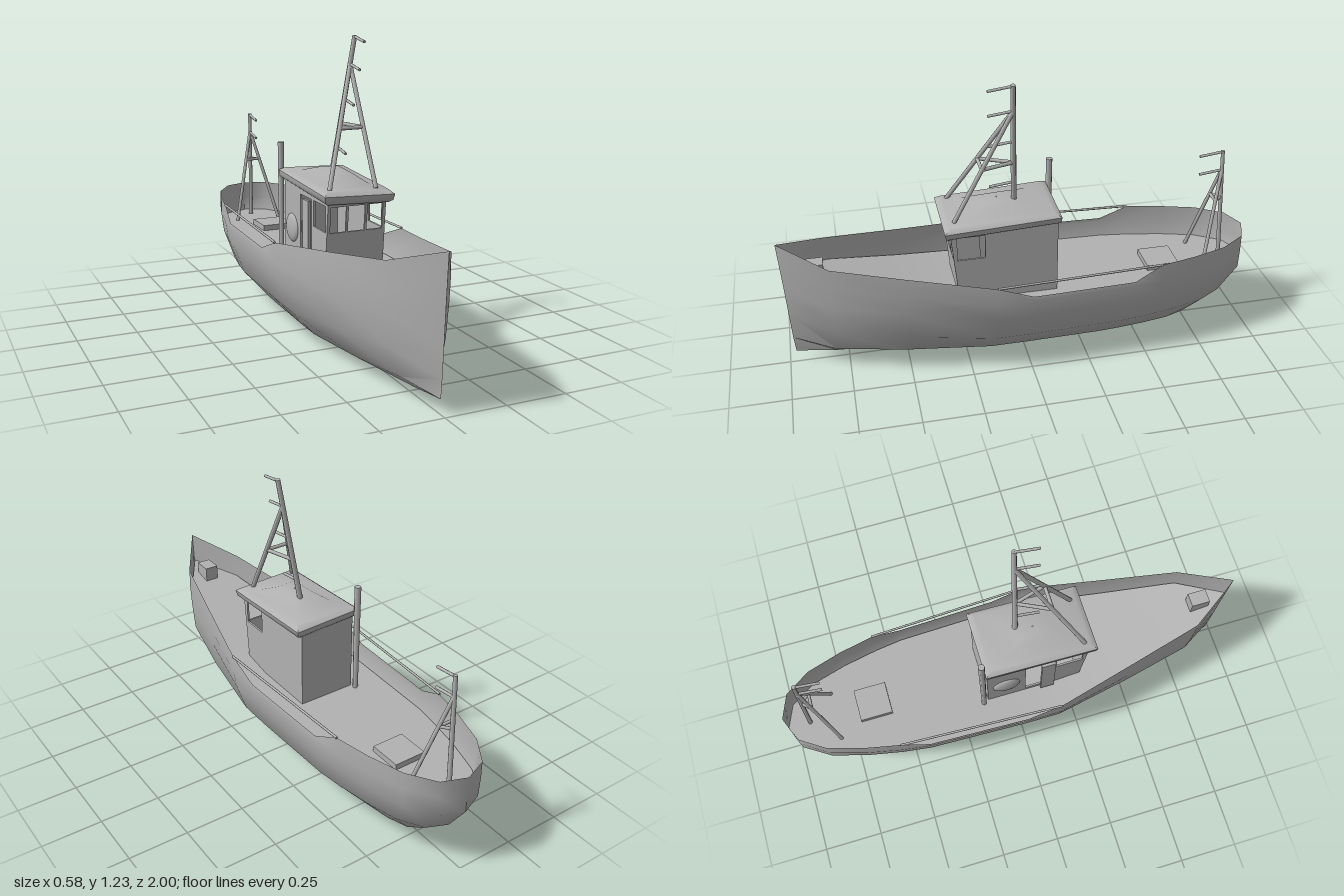
import * as THREE from 'three';
import { toCreasedNormals } from 'three/addons/utils/BufferGeometryUtils.js';

const grey = new THREE.MeshStandardMaterial({ color: 0xb2b2b2, side: THREE.DoubleSide });
grey.name = 'grey paint';

// Skin a grid of rings (arrays of [x, y, z]) into one surface
function skin(rings, closed, crease) {
  const n = rings[0].length, index = [];
  for (let i = 0; i < rings.length - 1; i++) {
    for (let k = 0; k < (closed ? n : n - 1); k++) {
      const k2 = (k + 1) % n;
      const a = i * n + k, b = a + n, c = i * n + k2, d = c + n;
      index.push(a, b, c, c, b, d);
    }
  }
  const g = new THREE.BufferGeometry();
  g.setAttribute('position', new THREE.Float32BufferAttribute(rings.flat(2), 3));
  g.setIndex(index);
  return toCreasedNormals(g, crease);
}

function add(parent, name, geometry, x = 0, y = 0, z = 0) {
  const m = new THREE.Mesh(geometry, grey);
  m.name = name;
  m.position.set(x, y, z);
  parent.add(m);
  return m;
}

// Round bar between two points
function bar(parent, name, a, b, r, rTop = r) {
  const p = new THREE.Vector3(...a), q = new THREE.Vector3(...b);
  const m = add(parent, name, new THREE.CylinderGeometry(rTop, r, p.distanceTo(q), 8));
  m.position.copy(p).add(q).multiplyScalar(0.5);
  m.quaternion.setFromUnitVectors(new THREE.Vector3(0, 1, 0), q.sub(p).normalize());
  return m;
}

// Flat wall with holes, each hole being [x0, y0, x1, y1]
function wall(outline, holes) {
  const s = new THREE.Shape(outline.map(p => new THREE.Vector2(...p)));
  for (const [x0, y0, x1, y1] of holes) {
    s.holes.push(new THREE.Path([[x0, y0], [x0, y1], [x1, y1], [x1, y0]].map(p => new THREE.Vector2(...p))));
  }
  return new THREE.ExtrudeGeometry(s, { depth: 0.008, bevelEnabled: false });
}

// Stations from bow to stern: z, bow blend, width factor
const STATIONS = [
  [1, 1, 0], [0.8, 0.55, 0.46], [0.5, 0.28, 0.71], [0.15, 0, 1], [0, 0, 1], [-0.43, 0, 0.95],
  [-0.55, 0, 0.89], [-0.7, 0, 0.78], [-0.85, 0, 0.62], [-0.96, 0, 0.36], [-1, 0, 0],
];
// Hull rows from keel to rail
const WIDTH = [0, 0.115, 0.23, 0.27, 0.285, 0.282];
const MID_Y = [0.004, 0.035, 0.16, 0.28, 0.365, 0.44];
const BOW_Y = [0.06, 0.13, 0.25, 0.38, 0.49, 0.59];
const STERN = [0.6, 0.77, 0.92, 1, 1, 1];
const BULGE = [1, 1.2, 1.1, 1.02, 1, 1];

function hullRing([z, t, f]) {
  const ring = [];
  for (let k = -5; k <= 5; k++) {
    const r = Math.abs(k);
    const x = Math.sign(k) * WIDTH[r] * f * (t > 0 ? BULGE[r] : 1);
    let y = MID_Y[r] + (BOW_Y[r] - MID_Y[r]) * t;
    if (r === 5 && (z === 0 || z === -0.43)) y = 0.383;
    const zr = z < 0 ? z * STERN[r] : z === 1 ? 0.97 + 0.006 * r : z;
    ring.push([x, y, zr]);
  }
  return ring;
}

function buildHull(group) {
  add(group, 'hull', skin(STATIONS.map(hullRing), false, 0.75));

  // Deck rises towards the bow
  const deck = STATIONS.map(([z, , f]) => {
    const y = 0.3 + Math.max(0, z - 0.2) * 0.2, w = 0.268 * f;
    const zd = z === 1 ? 0.988 : z;
    return [[w, y, zd], [0, y, zd], [-w, y, zd]];
  });
  add(group, 'deck', skin(deck, false, 0.5));

  for (const s of [-1, 1]) {
    bar(group, 'sideRail', [s * 0.283, 0.441, 0.15], [s * 0.252, 0.441, -0.55], 0.005);
  }
  add(group, 'aftHatch', new THREE.BoxGeometry(0.14, 0.035, 0.14), 0.005, 0.307, -0.62);
  add(group, 'bowLocker', new THREE.BoxGeometry(0.06, 0.065, 0.08), 0, 0.458, 0.86);
}

function buildWheelhouse(group) {
  const house = new THREE.Group();
  house.name = 'wheelhouse';
  group.add(house);

  // Side walls: forward windows on both sides, doorway on the right
  const side = [[-0.13, 0.295], [0.28, 0.295], [0.313, 0.64], [-0.13, 0.64]];
  const window = [0.17, 0.495, 0.285, 0.6];
  const door = [0.035, 0.32, 0.15, 0.6];
  add(house, 'leftWall', wall(side, [window]), 0.125).rotation.y = -Math.PI / 2;
  add(house, 'rightWall', wall(side, [window, door]), -0.117).rotation.y = -Math.PI / 2;
  add(house, 'doorLeaf', new THREE.BoxGeometry(0.012, 0.28, 0.06), -0.138, 0.455, 0.13);

  // Front wall leans forward, with three windows
  const front = wall([[-0.125, 0], [0.125, 0], [0.125, 0.345], [-0.125, 0.345]],
    [[-0.112, 0.2, -0.045, 0.305], [-0.036, 0.2, 0.036, 0.305], [0.045, 0.2, 0.112, 0.305]]);
  add(house, 'frontWall', front, 0, 0.295, 0.273).rotation.x = 0.095;
  add(house, 'aftWall', new THREE.BoxGeometry(0.25, 0.345, 0.008), 0, 0.4675, -0.13);

  // Domed port on the right side
  const dome = add(house, 'sidePort', new THREE.SphereGeometry(0.06, 20, 12), -0.124, 0.44, -0.05);
  dome.scale.x = 0.3;

  // Roof: rolled eave rising to a low crown
  const rings = [[0, 0.005, 0.005], [0, 0.132, 0.224], [0.01, 0.146, 0.235], [0.035, 0.15, 0.24],
    [0.05, 0.132, 0.215], [0.055, 0.085, 0.14], [0.085, 0.04, 0.06], [0.088, 0.002, 0.002]]
    .map(([y, x, z]) => [[x, y, z], [x, y, -z], [-x, y, -z], [-x, y, z]].reverse());
  const roof = add(house, 'roof', skin(rings, true, 0.8), 0, 0.618, 0.095);
  roof.rotation.set(0.05, 0, -0.04);

  bar(house, 'exhaustPipe', [-0.133, 0.295, -0.155], [-0.133, 0.785, -0.155], 0.011, 0.014);
}

// Tripod mast: a pole, two forward legs, a brace triangle and rungs
function buildMast(group, name, o) {
  const mast = new THREE.Group();
  mast.name = name;
  group.add(mast);
  const at = (a, b, y) => a.map((v, i) => v + (b[i] - v) * (y - a[1]) / (b[1] - a[1]));

  bar(mast, 'pole', o.base, o.top, o.r, o.r * 0.85);
  const joint = at(o.base, o.top, o.jointY);
  for (const foot of o.feet) bar(mast, 'leg', foot, joint, o.r * 0.8);

  const [a, b] = o.feet.map(foot => at(foot, joint, o.braceY));
  const c = at(o.base, o.top, o.braceY);
  for (const [p, q] of [[a, b], [b, c], [c, a]]) bar(mast, 'brace', p, q, o.r * 0.65);

  for (const y of o.rungs) {
    const p = at(o.base, o.top, y);
    bar(mast, 'rung', p, [p[0] - 0.005, y - 0.015, p[2] + 0.1], 0.006);
  }
}

export function createModel() {
  const model = new THREE.Group();
  model.name = 'fishingBoat';
  buildHull(model);
  buildWheelhouse(model);
  buildMast(model, 'mainMast', {
    base: [0.02, 0.68, 0.03], top: [0.11, 1.235, 0.05], r: 0.012, jointY: 1.12, braceY: 0.88,
    feet: [[0.09, 0.655, 0.29], [-0.11, 0.66, 0.29]], rungs: [1.23, 1.12, 0.98, 0.785],
  });
  buildMast(model, 'aftMast', {
    base: [0, 0.295, -0.905], top: [-0.008, 0.805, -0.88], r: 0.01, jointY: 0.72, braceY: 0.585,
    feet: [[0.1, 0.3, -0.79], [-0.11, 0.3, -0.79]], rungs: [0.8, 0.715],
  });
  return model;
}
